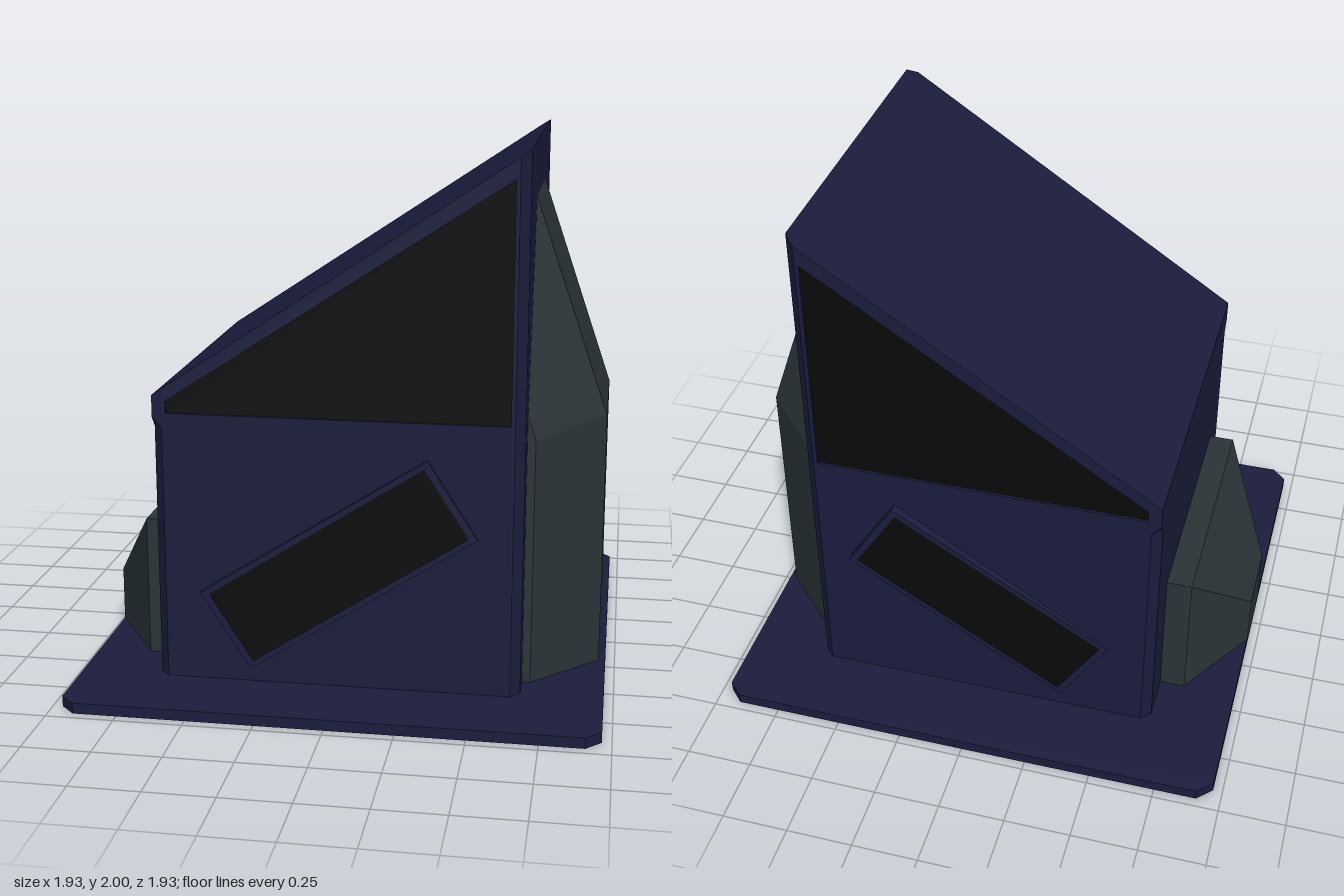
import * as THREE from 'three';
import { ConvexGeometry } from 'three/addons/geometries/ConvexGeometry.js';

const mat = (color) => new THREE.MeshStandardMaterial({ color, flatShading: true });
const blue = mat(0x1b1d3d);
const slate = mat(0x2a3538);
const black = mat(0x0a0a0a);

const BASE = 0.04;
const roofY = (x) => 1.11 + (x + 0.67) * (0.89 / 1.335);

function add(parent, name, geometry, material) {
  const mesh = new THREE.Mesh(geometry, material);
  mesh.name = name;
  parent.add(mesh);
  return mesh;
}

const toShape = (pts) => new THREE.Shape(pts.map(([x, y]) => new THREE.Vector2(x, y)));

const extrude = (shape, depth) => new THREE.ExtrudeGeometry(shape, { depth, bevelEnabled: false });

// Extrudes an outline (x, z) upward from y = 0
const slab = (pts, height) => extrude(toShape(pts), height).rotateX(-Math.PI / 2);

// Convex block from points given for z > 0 and mirrored to z < 0
function mirroredBlock(half) {
  return new ConvexGeometry(half.flatMap(([x, y, z]) =>
    [new THREE.Vector3(x, y, z), new THREE.Vector3(x, y, -z)]));
}

const rectangle = (w, h) => [[-w / 2, -h / 2], [w / 2, -h / 2], [w / 2, h / 2], [-w / 2, h / 2]];

// Wall skin with the sloped window recessed in it, facing +z
function makeWall() {
  const wall = new THREE.Group();
  const shape = toShape([[-0.635, BASE], [0.63, BASE], [0.63, roofY(0.63)], [-0.635, roofY(-0.635)]]);
  const opening = [[-0.62, 1.045], [0.615, 1.045], [0.615, 1.9], [-0.62, 1.09]];
  shape.holes.push(toShape(opening));
  add(wall, 'wallPanel', extrude(shape, 0.015).translate(0, 0, 0.655), blue);
  add(wall, 'slopedWindow', extrude(toShape(opening), 0.008).translate(0, 0, 0.652), black);
  return wall;
}

// Diagonal window in a thin frame, leaning slightly off the wall
function makeDiagonalWindow(lean) {
  const win = new THREE.Group();
  const frame = toShape(rectangle(0.977, 0.338));
  frame.holes.push(toShape(rectangle(0.926, 0.297)));
  add(win, 'windowFrame', extrude(frame, 0.04).translate(0, 0, -0.04), blue);
  add(win, 'windowPane', extrude(toShape(rectangle(0.926, 0.297)), 0.035).translate(0, 0, -0.038), black);
  win.rotation.set(0, lean, 0.57, 'ZYX');
  win.position.set(0.005, 0.507, 0.693);
  return win;
}

export function createModel() {
  const model = new THREE.Group();
  model.name = 'slopedHouse';

  // Base plate with clipped corners
  const b = 0.965, c = 0.91;
  add(model, 'basePlate', slab(
    [[-c, -b], [c, -b], [b, -c], [b, c], [c, b], [-c, b], [-b, c], [-b, -c]], BASE), blue);

  // Body core: chamfered corners, shallow recesses for the walls, sloping roof
  const body = slab([
    [-0.635, -0.67], [-0.635, -0.655], [0.63, -0.655], [0.63, -0.67], [0.665, -0.635], [0.665, 0.635],
    [0.63, 0.67], [0.63, 0.655], [-0.635, 0.655], [-0.635, 0.67], [-0.67, 0.635], [-0.67, -0.635],
  ], 1);
  const p = body.attributes.position;
  for (let i = 0; i < p.count; i++) p.setY(i, p.getY(i) > 0.5 ? roofY(p.getX(i)) : BASE);
  body.computeVertexNormals();
  add(model, 'body', body, blue);

  // Front and back faces
  for (const side of [1, -1]) {
    const face = new THREE.Group();
    face.name = side > 0 ? 'frontFace' : 'backFace';
    face.add(makeWall(), makeDiagonalWindow(side * 0.025));
    face.children[0].name = 'wall';
    face.children[1].name = 'diagonalWindow';

    // Roof corner overhanging the chamfer on the low side
    add(face, 'roofCorner', new ConvexGeometry([
      [-0.67, 0.99, 0.635], [-0.635, 0.99, 0.67], [-0.67, 1.03, 0.67],
      [-0.67, roofY(-0.67), 0.635], [-0.635, roofY(-0.635), 0.67], [-0.67, roofY(-0.67), 0.67],
    ].map((v) => new THREE.Vector3(...v))), blue);

    face.scale.z = side;
    model.add(face);
  }

  // Tall faceted bay on the high side
  add(model, 'tallBay', mirroredBlock([
    [0.66, BASE, 0.53], [0.695, BASE, 0.53], [0.94, BASE, 0.28],
    [0.695, 0.96, 0.53], [0.94, 1.0, 0.28],
    [0.665, 1.05, 0.53], [0.665, 1.8, 0.28],
  ]), slate);

  // Low faceted bay on the low side
  add(model, 'lowBay', mirroredBlock([
    [-0.665, BASE, 0.46], [-0.765, BASE, 0.46], [-0.965, BASE, 0.14],
    [-0.665, 0.575, 0.46], [-0.765, 0.575, 0.46], [-0.965, 0.25, 0.14],
  ]), slate);

  return model;
}
